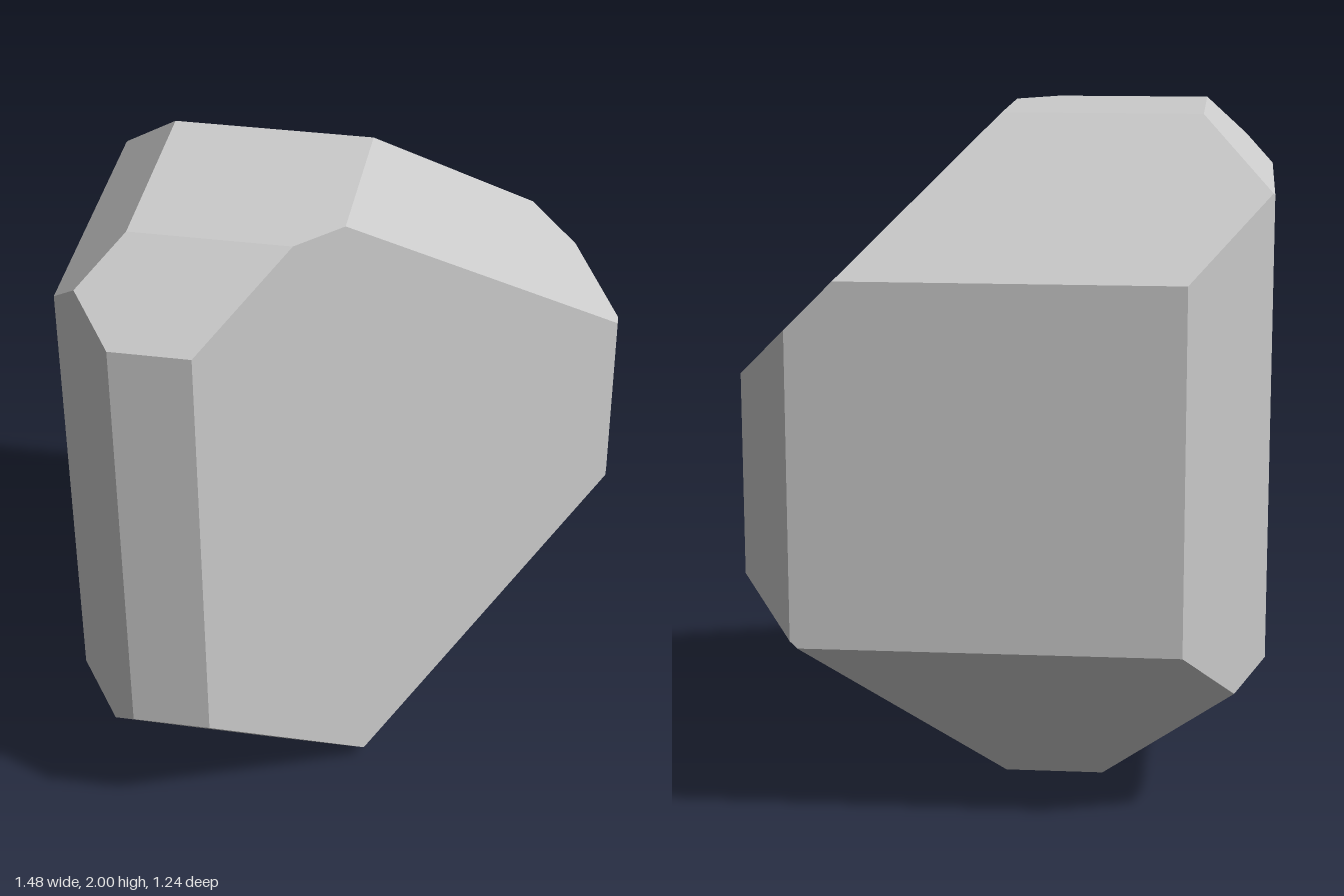
import * as THREE from 'three';

// Cut planes of the rock: normal direction and limit (n . p <= d)
const CUTS = [
  [1, 0, 0, 0.74], [-1, 0, 0, 0.74],
  [0, 1, 0, 2], [0, -1, 0, 0],
  [0, 0, 1, 0.622], [0, 0, -1, 0.622],
  // vertical corner bevels
  [1, 0, 1, 0.302], [1, 0, -1, 1.21], [-1, 0, 1, 1.171], [-1, 0, -1, 1.133],
  // upper and lower side bevels
  [1, 1, 0, 2.03], [-1, 1, 0, 2.538], [1, -1, 0, 0.03], [-1, -1, 0, 0.262],
  // upper and lower front and back bevels
  [0, 1, 1, 2.392], [0, 1, -1, 2.2], [0, -1, 1, 0.178], [0, -1, -1, 0.085],
];

// Corners of the solid: every three-plane crossing that lies inside all cuts
function findCorners(planes) {
  const corners = [];
  const m = new THREE.Matrix3();
  for (let i = 0; i < planes.length; i++)
    for (let j = i + 1; j < planes.length; j++)
      for (let k = j + 1; k < planes.length; k++) {
        const [a, b, c] = [planes[i], planes[j], planes[k]];
        m.set(...a.n.toArray(), ...b.n.toArray(), ...c.n.toArray());
        if (Math.abs(m.determinant()) < 1e-6) continue;
        const p = new THREE.Vector3(a.d, b.d, c.d).applyMatrix3(m.invert());
        const inside = planes.every(({ n, d }) => n.dot(p) <= d + 1e-6);
        if (inside && !corners.some((q) => q.distanceTo(p) < 1e-5)) corners.push(p);
      }
  return corners;
}

// One flat polygon per cut, its corners sorted counter-clockwise
function cutSolid(cuts) {
  const planes = cuts.map(([x, y, z, d]) => ({ n: new THREE.Vector3(x, y, z), d }));
  const corners = findCorners(planes);
  const positions = [];
  for (const { n, d } of planes) {
    const face = corners.filter((p) => Math.abs(n.dot(p) - d) < 1e-5);
    if (face.length < 3) continue;
    const centre = new THREE.Vector3();
    face.forEach((p) => centre.addScaledVector(p, 1 / face.length));
    const normal = n.clone().normalize();
    const u = face[0].clone().sub(centre).normalize();
    const v = normal.clone().cross(u);
    const angle = (p) => {
      const r = p.clone().sub(centre);
      return Math.atan2(r.dot(v), r.dot(u));
    };
    face.sort((p, q) => angle(p) - angle(q));
    for (let i = 1; i < face.length - 1; i++)
      for (const p of [face[0], face[i], face[i + 1]]) positions.push(p.x, p.y, p.z);
  }
  const geometry = new THREE.BufferGeometry();
  geometry.setAttribute('position', new THREE.Float32BufferAttribute(positions, 3));
  geometry.computeVertexNormals();
  return geometry;
}

export function createModel() {
  const group = new THREE.Group();
  group.name = 'facetedRock';
  const rock = new THREE.Mesh(
    cutSolid(CUTS),
    new THREE.MeshStandardMaterial({ color: 0xcccccc, flatShading: true }),
  );
  rock.name = 'rock';
  group.add(rock);
  return group;
}
